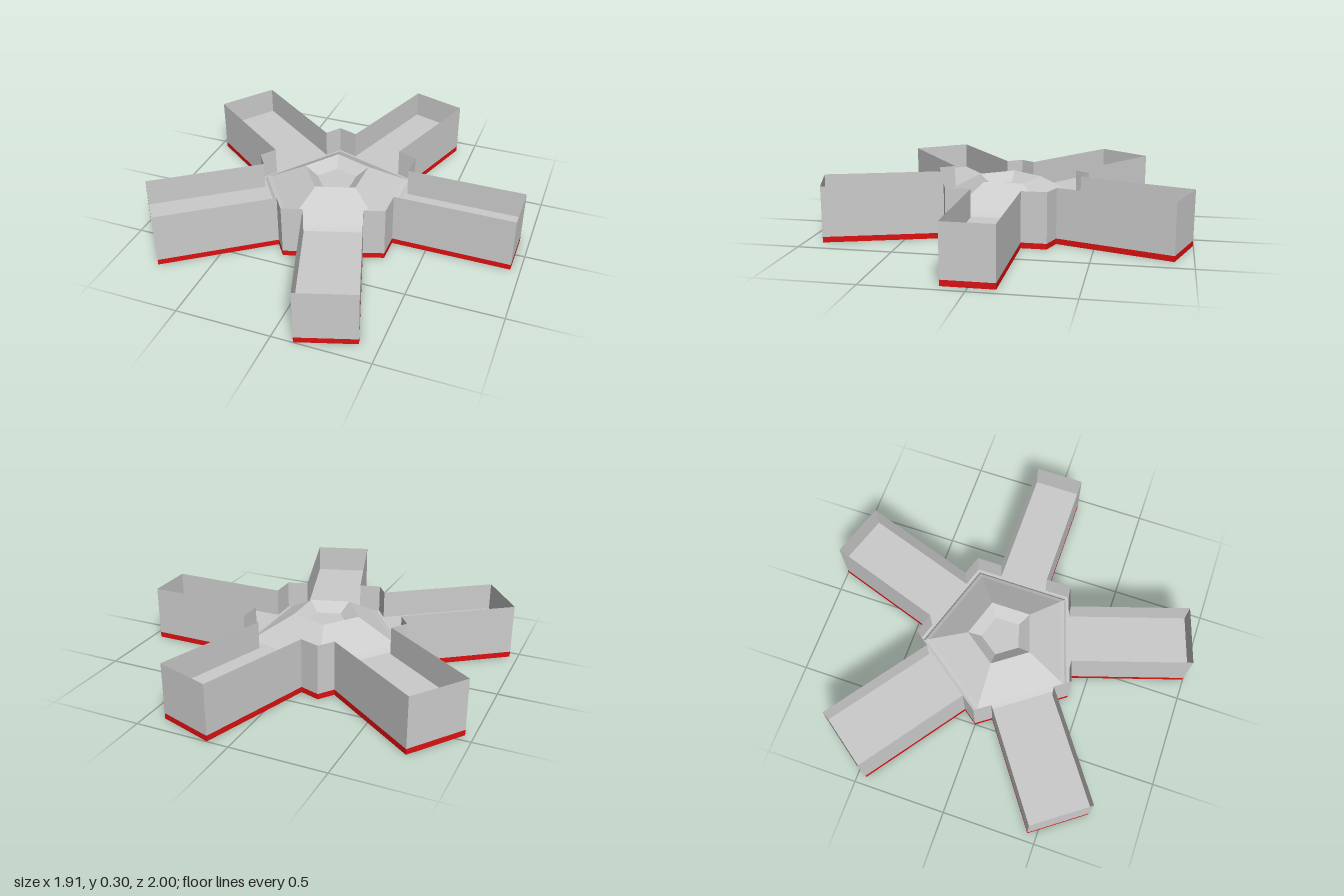
import * as THREE from 'three';

const CX = -0.05;                                // centre of the star
const CORE = 0.45;                               // corner radius of the pentagon core
const REACH = 1.0;                               // centre to arm tip
const HALF_WIDTHS = [0.13, 0.153, 0.168, 0.168, 0.153];
const SLAB = 0.03, FLOOR = 0.15, TOP = 0.3;

// Plan outline: a pentagon core with one arm leaving the middle of each side
function outlinePoints() {
  const points = [];
  const apothem = CORE * Math.cos(Math.PI / 5);
  HALF_WIDTHS.forEach((w, k) => {
    const a = (k * 2 * Math.PI) / 5;
    const at = (u, v) => points.push(new THREE.Vector2(
      CX + u * Math.cos(a) - v * Math.sin(a),
      u * Math.sin(a) + v * Math.cos(a)));
    at(apothem, -CORE * Math.sin(Math.PI / 5));  // core corner
    at(apothem, -w);
    at(REACH, -w);
    at(REACH, w);
    at(apothem, w);
  });
  return points;
}

// Thin upright wall following the closed outline
function wallGeometry(points, y0, y1) {
  const pos = [];
  points.forEach((p, i) => {
    const q = points[(i + 1) % points.length];
    const a = [p.x, y0, -p.y], b = [q.x, y0, -q.y];
    const c = [q.x, y1, -q.y], d = [p.x, y1, -p.y];
    pos.push(...a, ...b, ...c, ...a, ...c, ...d);
  });
  const g = new THREE.BufferGeometry();
  g.setAttribute('position', new THREE.Float32BufferAttribute(pos, 3));
  g.computeVertexNormals();
  return g;
}

export function createModel() {
  const group = new THREE.Group();
  const grey = new THREE.MeshStandardMaterial({
    color: 0xcccccc, flatShading: true, side: THREE.DoubleSide });
  const red = new THREE.MeshStandardMaterial({ color: 0xdd1111 });
  const add = (name, geometry, material) => {
    const mesh = new THREE.Mesh(geometry, material);
    mesh.name = name;
    group.add(mesh);
    return mesh;
  };

  const points = outlinePoints();
  const shape = new THREE.Shape(points);

  // Red base slab
  add('baseSlab', new THREE.ExtrudeGeometry(shape, { depth: SLAB, bevelEnabled: false })
    .rotateX(-Math.PI / 2), red);

  // Outer walls and the raised floor inside them
  add('outerWall', wallGeometry(points, SLAB, TOP), grey);
  add('floor', new THREE.ShapeGeometry(shape).rotateX(-Math.PI / 2).translate(0, FLOOR, 0), grey);

  // Five-sided mound with a sunken middle
  const profile = [[0.43, FLOOR], [0.415, 0.165], [0.39, 0.175], [0.18, 0.29], [0.11, 0.24], [0, 0.24]]
    .map(([r, y]) => new THREE.Vector2(r, y));
  const mound = add('centralMound', new THREE.LatheGeometry(profile, 5), grey);
  mound.rotation.y = -Math.PI / 2;
  mound.position.x = CX;

  return group;
}
